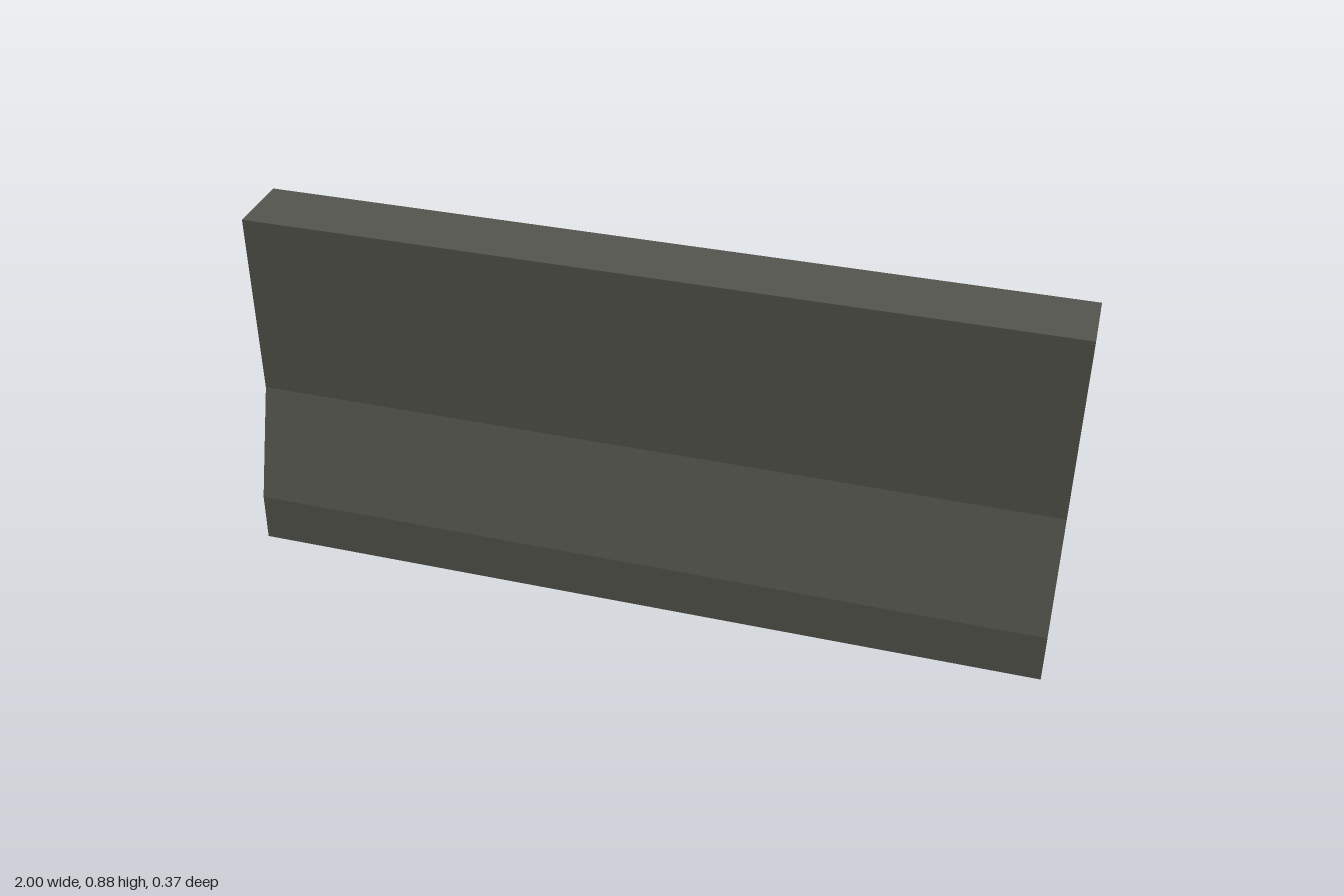
import * as THREE from 'three';

export function createModel() {
  const group = new THREE.Group();
  group.name = 'roadBarrier';
  const concrete = new THREE.MeshStandardMaterial({ color: 0x55554e });
  concrete.name = 'concrete';

  // Half of the cross-section, [half depth, height], mirrored to close the outline
  const half = [[0.184, 0], [0.179, 0.125], [0.088, 0.406], [0.084, 0.882]];
  const outline = [...half, ...half.map(([z, y]) => [-z, y]).reverse()];
  const shape = new THREE.Shape(outline.map(([z, y]) => new THREE.Vector2(z, y)));

  // Long body, swept along x
  const geometry = new THREE.ExtrudeGeometry(shape, { depth: 2, bevelEnabled: false });
  geometry.translate(0, 0, -1).rotateY(Math.PI / 2);
  const body = new THREE.Mesh(geometry, concrete);
  body.name = 'barrierBody';
  group.add(body);
  return group;
}
